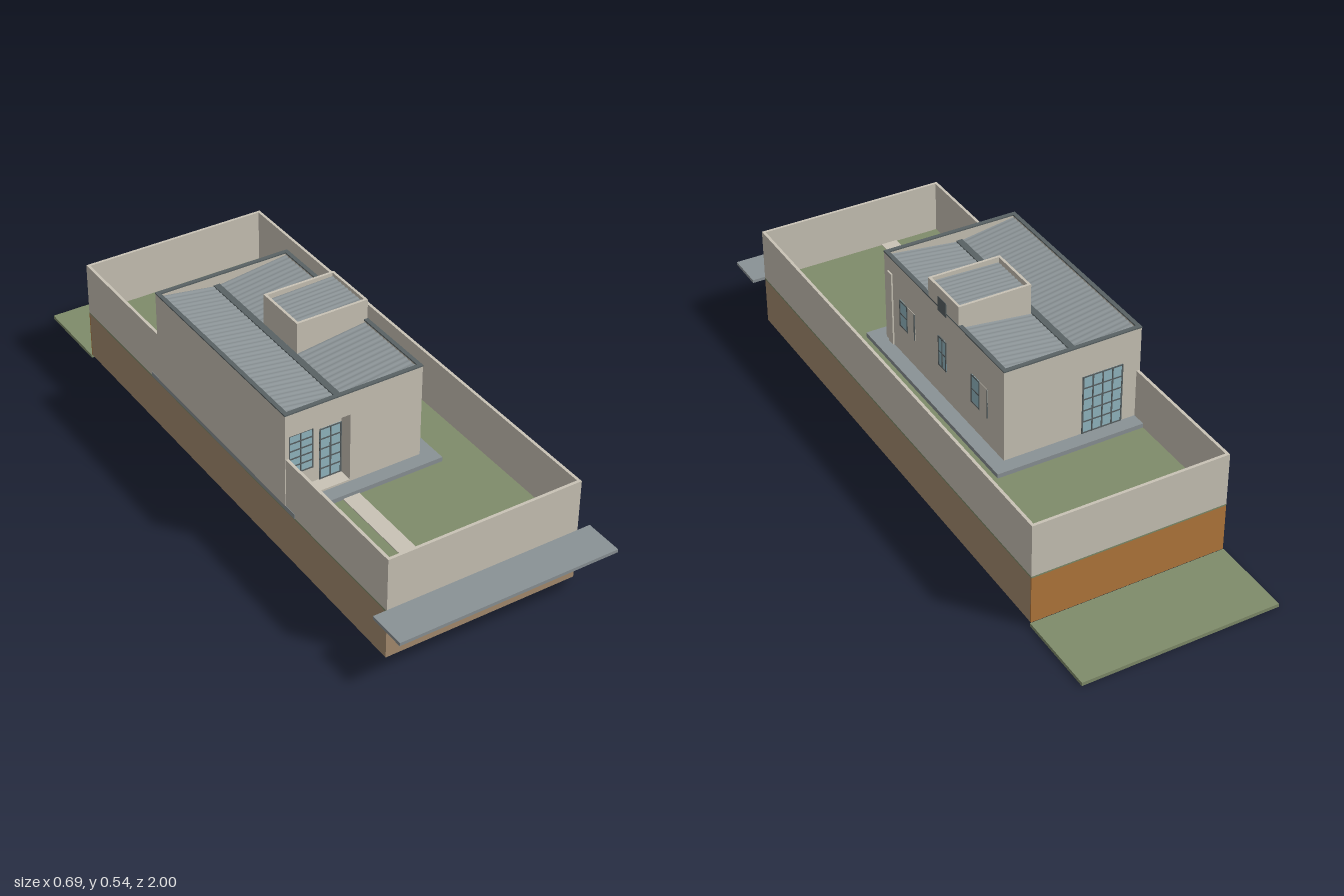
import * as THREE from 'three';

const mat = (name, color) => {
  const m = new THREE.MeshStandardMaterial({ color });
  m.name = name;
  return m;
};

export function createModel() {
  const root = new THREE.Group();
  root.name = 'houseOnLot';
  const plaster = mat('plaster', 0xc9c3b6);
  const earth = mat('earth', 0xa58c6f);
  const clay = mat('clay', 0xb2773c);
  const grass = mat('grass', 0x7f8c6a);
  const concrete = mat('concrete', 0x8a9295);
  const metal = mat('darkMetal', 0x596264);
  const glass = mat('glass', 0x93b8c2);

  const add = (name, geo, material, parent = root) => {
    const m = new THREE.Mesh(geo, material);
    m.name = name;
    parent.add(m);
    return m;
  };
  // Box given by its minimum and maximum on each axis
  const box = (name, material, x0, x1, y0, y1, z0, z1, parent = root) => {
    const m = add(name, new THREE.BoxGeometry(x1 - x0, y1 - y0, z1 - z0), material, parent);
    m.position.set((x0 + x1) / 2, (y0 + y1) / 2, (z0 + z1) / 2);
    return m;
  };
  // Four strips forming a rectangular ring
  const ring = (name, material, x0, x1, y0, y1, z0, z1, t) => {
    const g = new THREE.Group();
    g.name = name;
    root.add(g);
    box(name + 'Left', material, x1 - t, x1, y0, y1, z0, z1, g);
    box(name + 'Right', material, x0, x0 + t, y0, y1, z0, z1, g);
    box(name + 'Front', material, x0 + t, x1 - t, y0, y1, z1 - t, z1, g);
    box(name + 'Back', material, x0 + t, x1 - t, y0, y1, z0, z0 + t, g);
  };

  // Lot: raised earth, lawn, boundary walls, pavement and lower rear lawn
  box('earthBase', earth, -0.303, 0.302, 0.012, 0.163, -0.738, 0.88);
  box('rearEarthFace', clay, -0.303, 0.302, 0.012, 0.163, -0.742, -0.738);
  box('lawn', grass, -0.303, 0.302, 0.163, 0.168, -0.742, 0.88);
  ring('boundaryWall', plaster, -0.303, 0.302, 0.168, 0.335, -0.742, 0.88, 0.009);
  box('pavement', concrete, -0.345, 0.343, 0.162, 0.172, 0.88, 1);
  box('rearLawn', grass, -0.305, 0.304, 0, 0.011, -1, -0.742);
  box('gardenPath', plaster, -0.15, -0.098, 0.168, 0.171, 0.44, 0.871);
  box('terrace', concrete, -0.3045, 0.175, 0.168, 0.182, -0.345, 0.44);
  box('porchFloor', plaster, -0.293, -0.1, 0.182, 0.188, 0.35, 0.395);

  // House shell: slices of one section, with optional valley top and porch opening
  const X0 = -0.305, X1 = 0.13, TOP = 0.476, VX = -0.112, VY = 0.442, EY = 0.47;
  const slice = (name, z0, z1, valley, porch) => {
    const s = new THREE.Shape();
    s.moveTo(X0, 0.182);
    if (porch) {
      s.lineTo(-0.293, 0.182);
      s.lineTo(-0.293, 0.405);
      s.lineTo(-0.1, 0.405);
      s.lineTo(-0.1, 0.182);
    }
    s.lineTo(X1, 0.182);
    s.lineTo(X1, TOP);
    if (valley) {
      s.lineTo(X1 - 0.01, TOP);
      s.lineTo(X1 - 0.01, EY - 0.004);
      s.lineTo(VX, VY - 0.004);
      s.lineTo(X0 + 0.01, EY - 0.004);
      s.lineTo(X0 + 0.01, TOP);
    }
    s.lineTo(X0, TOP);
    const geo = new THREE.ExtrudeGeometry(s, { depth: z1 - z0, bevelEnabled: false });
    geo.translate(0, 0, z0);
    add(name, geo, plaster);
  };
  slice('rearWall', -0.3, -0.29, false, false);
  slice('houseBody', -0.29, 0.35, true, false);
  slice('porchWalls', 0.35, 0.385, true, true);
  slice('frontWall', 0.385, 0.395, false, true);
  ring('parapetCap', metal, X0 - 0.001, X1 + 0.001, TOP, 0.48, -0.301, 0.396, 0.013);

  // Corrugated roof sheets sloping to a central gutter
  const sheet = (name, xa, xb, ya, yb, z0, z1, ribs) => {
    const geo = new THREE.PlaneGeometry(1, 1, 1, ribs * 4);
    geo.rotateX(-Math.PI / 2);
    const p = geo.attributes.position;
    for (let i = 0; i < p.count; i++) {
      const u = p.getX(i) + 0.5, v = p.getZ(i) + 0.5;
      const wave = 0.0015 * Math.sin(v * ribs * Math.PI * 2);
      p.setXYZ(i, xa + (xb - xa) * u, ya + (yb - ya) * u + wave, z0 + (z1 - z0) * v);
    }
    geo.computeVertexNormals();
    add(name, geo, concrete);
  };
  sheet('roofRight', X0 + 0.01, VX, EY, VY, -0.29, 0.385, 34);
  sheet('roofLeft', VX, X1 - 0.01, VY, EY, -0.29, 0.385, 34);
  box('valleyGutter', metal, VX - 0.01, VX + 0.01, VY - 0.003, VY + 0.005, -0.29, 0.385);

  // Water tank tower with sunken roof
  box('towerBody', plaster, -0.1, X1, 0.435, 0.52, -0.05, 0.125);
  ring('towerParapet', plaster, -0.1, X1, 0.52, 0.541, -0.05, 0.125, 0.008);
  sheet('towerRoof', -0.092, X1 - 0.008, 0.524, 0.53, -0.042, 0.117, 9);
  box('towerVent', metal, X1, X1 + 0.002, 0.465, 0.512, 0.02, 0.067);
  box('sidePilaster', plaster, X1, X1 + 0.005, 0.182, 0.427, 0.345, 0.37);

  // Glazing built facing +z, centred, with its back on z = 0
  const glazing = (name, w, h, cols, rows, closed = 0) => {
    const g = new THREE.Group();
    g.name = name;
    root.add(g);
    const t = 0.004, d = 0.003;
    const split = w / 2 - w * closed;
    box('pane', glass, -w / 2, split, -h / 2, h / 2, 0, 0.001, g);
    if (closed) box('shutter', plaster, split, w / 2, -h / 2, h / 2, 0, 0.0015, g);
    for (let i = 0; i <= cols; i++) {
      const x = -w / 2 + t / 2 + (w - t) * i / cols;
      box('mullion', metal, x - t / 2, x + t / 2, -h / 2, h / 2, 0, d, g);
    }
    for (let j = 0; j <= rows; j++) {
      const y = -h / 2 + t / 2 + (h - t) * j / rows;
      box('transom', metal, -w / 2, split, y - t / 2, y + t / 2, 0, d - 0.0005, g);
    }
    return g;
  };
  glazing('frontWindow', 0.078, 0.132, 2, 5).position.set(-0.229, 0.304, 0.35);
  glazing('frontDoor', 0.07, 0.168, 2, 5).position.set(-0.135, 0.272, 0.35);
  const rear = glazing('rearDoor', 0.13, 0.193, 4, 5);
  rear.position.set(-0.183, 0.279, -0.3);
  rear.rotation.y = Math.PI;

  // Windows along the side wall: z centre, width, bottom, top, columns, shuttered share
  for (const [z, w, y0, y1, cols, closed] of [
    [0.256, 0.092, 0.275, 0.365, 2, 0.5],
    [0.045, 0.046, 0.28, 0.38, 2, 0],
    [-0.167, 0.092, 0.27, 0.365, 2, 0.5],
  ]) {
    const win = glazing('sideWindow', w, y1 - y0, cols, 2, closed);
    win.position.set(X1, (y0 + y1) / 2, z);
    win.rotation.y = Math.PI / 2;
  }
  return root;
}
